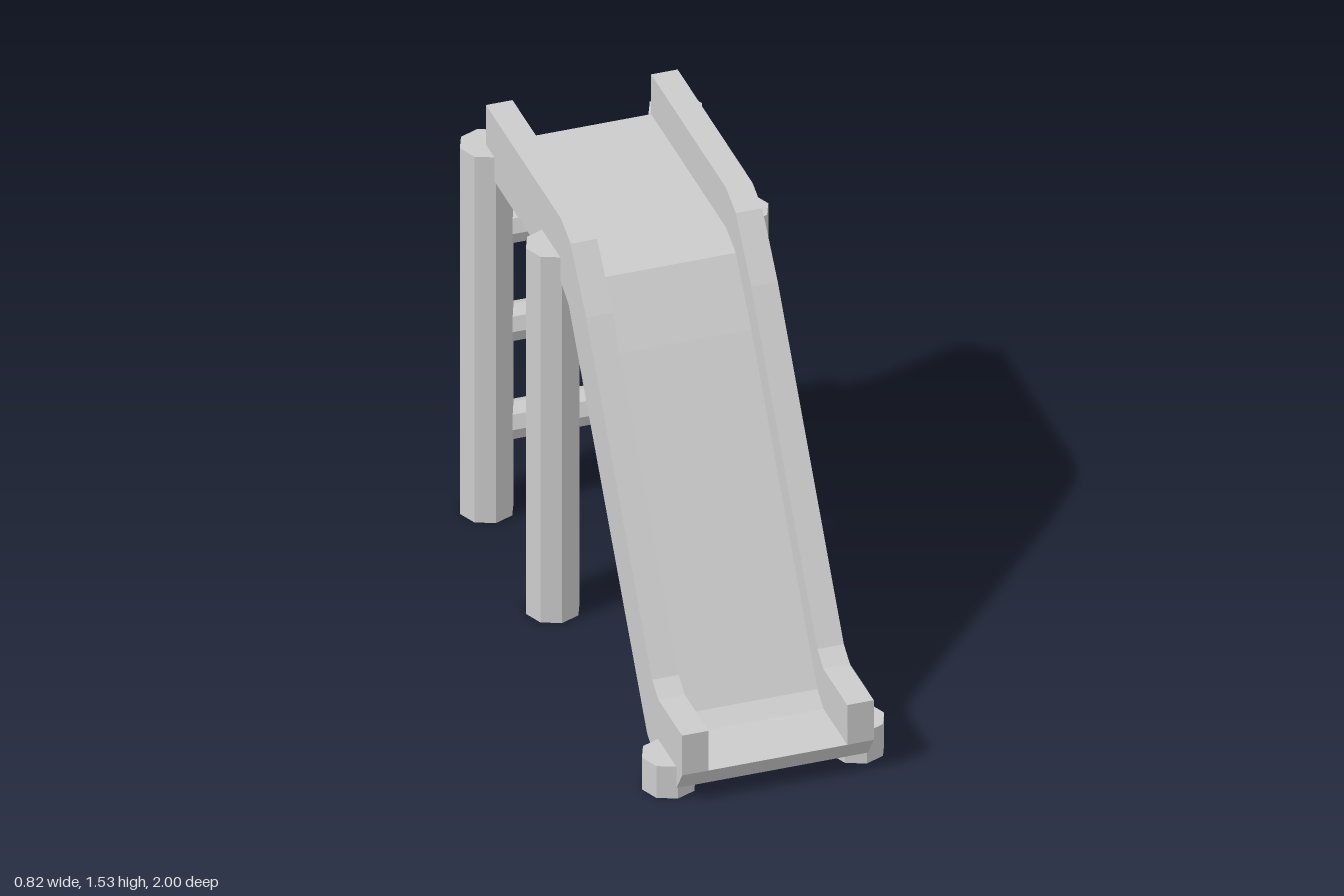
import * as THREE from 'three';

const material = new THREE.MeshStandardMaterial({ color: 0xcccccc, flatShading: true });

// Side profiles as [z, y], running from the slide's foot to the platform's back
const railTop = [[1, 0.27], [0.77, 0.27], [0.71, 0.31], [0.07, 1.3], [-0.08, 1.49], [-0.175, 1.53], [-0.9, 1.53]];
const bedTop = [[1, 0.12], [0.77, 0.12], [0.71, 0.16], [0.07, 1.14], [-0.08, 1.34], [-0.175, 1.38], [-0.9, 1.38]];
const bedUnder = [[0.945, 0.04], [0.72, 0.04], [0.66, 0.08], [0, 1.095], [-0.1, 1.25], [-0.175, 1.29], [-0.9, 1.29]];

export function createModel() {
  const group = new THREE.Group();

  const add = (name, geometry, x = 0, y = 0, z = 0) => {
    const mesh = new THREE.Mesh(geometry, material);
    mesh.name = name;
    mesh.position.set(x, y, z);
    group.add(mesh);
  };

  // Solid between two side profiles, centred across its width
  const slab = (upper, lower, width) => {
    const points = [...upper, ...[...lower].reverse()].map(([z, y]) => new THREE.Vector2(z, y));
    const geometry = new THREE.ExtrudeGeometry(new THREE.Shape(points), { depth: width, bevelEnabled: false });
    return geometry.translate(0, 0, -width / 2).rotateY(-Math.PI / 2);
  };

  // Slide bed and platform in one sheet
  add('slideBed', slab(bedTop, bedUnder, 0.65), 0);

  for (const [side, sign] of [['left', 1], ['right', -1]]) {
    // Raised side rail
    add(`${side}Rail`, slab(railTop, bedTop, 0.09), sign * 0.28);

    // Octagonal posts
    for (const [name, z, height] of [['FootPost', 0.855, 0.12], ['FrontPost', -0.268, 1.38], ['BackPost', -0.908, 1.38]]) {
      add(side + name, new THREE.CylinderGeometry(0.091, 0.091, height, 8), sign * 0.32, height / 2, z);
    }
  }

  // Ladder rungs between the back posts
  [0.32, 0.69, 1.06].forEach((y, i) => {
    const rung = new THREE.CylinderGeometry(0.065, 0.065, 0.56, 8).rotateZ(Math.PI / 2);
    add(`ladderRung${i + 1}`, rung, 0, y, -0.91);
  });

  return group;
}
